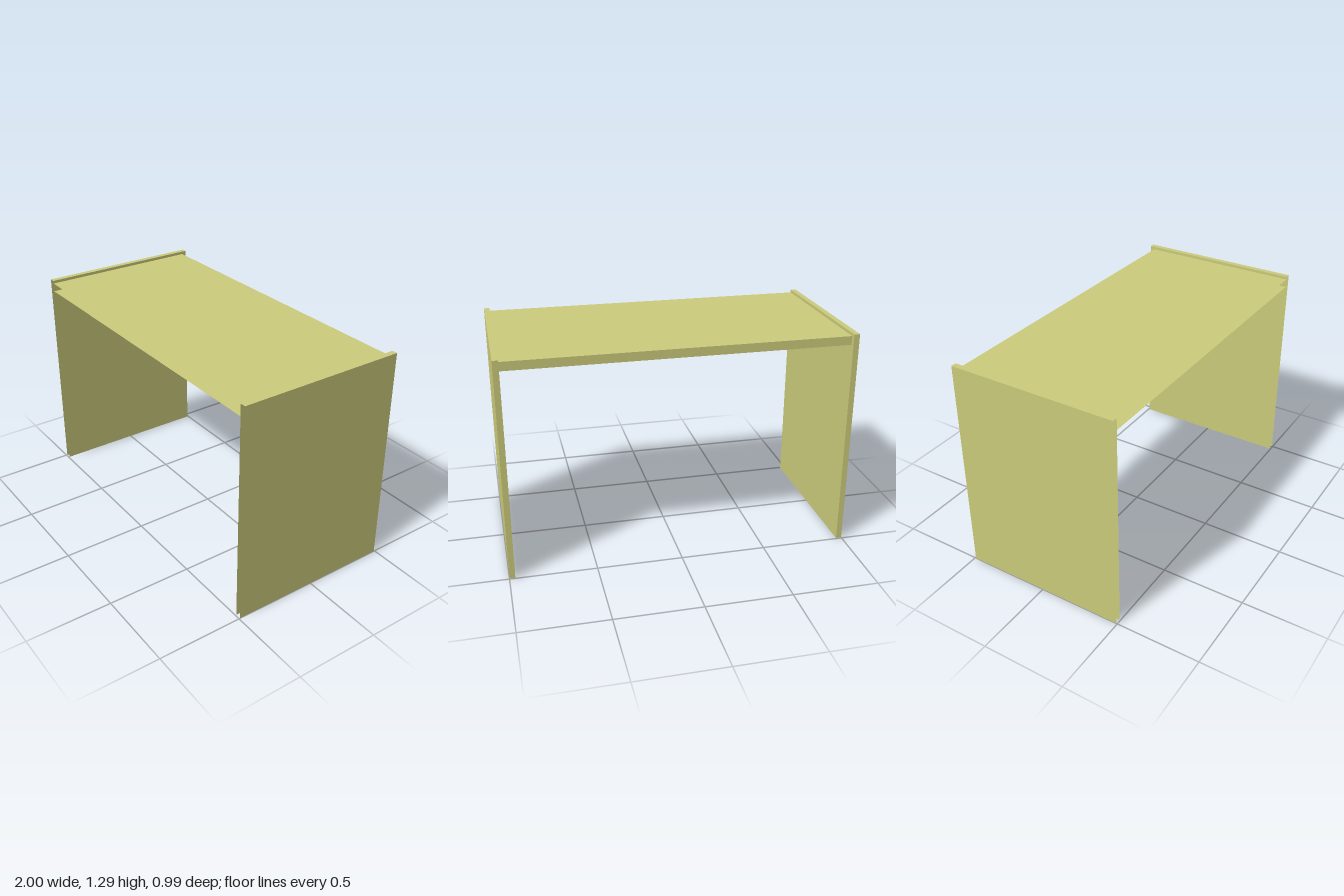
import * as THREE from 'three';

const material = new THREE.MeshStandardMaterial({ color: 0xcccc7c, side: THREE.DoubleSide, flatShading: true });

// Box sides in the order BoxGeometry stores them, six indices per side
const SIDES = ['+x', '-x', '+y', '-y', '+z', '-z'];

// Hollow board between two corners, with the named sides left open
function board(name, min, max, open) {
  const size = max.map((v, i) => v - min[i]);
  const geometry = new THREE.BoxGeometry(...size);
  const index = Array.from(geometry.index.array);
  geometry.setIndex(index.filter((_, i) => !open.includes(SIDES[Math.floor(i / 6)])));
  geometry.clearGroups();
  geometry.translate(...max.map((v, i) => (v + min[i]) / 2));
  const mesh = new THREE.Mesh(geometry, material);
  mesh.name = name;
  return mesh;
}

export function createModel() {
  const group = new THREE.Group();
  group.name = 'table';

  const inner = 0.967, height = 1.293, depth = 0.494;

  // Upright side panels, open at the front and underneath
  group.add(board('leftPanel', [inner, 0, -depth], [1, height, depth], ['+z', '-y']));
  group.add(board('rightPanel', [-1, 0, -depth], [-inner, height, depth], ['+z', '-y']));

  // Top slab, open at the front and where it meets the panels
  group.add(board('tableTop', [-inner, 1.225, -0.468], [inner, 1.276, depth], ['+z', '+x', '-x']));

  return group;
}
